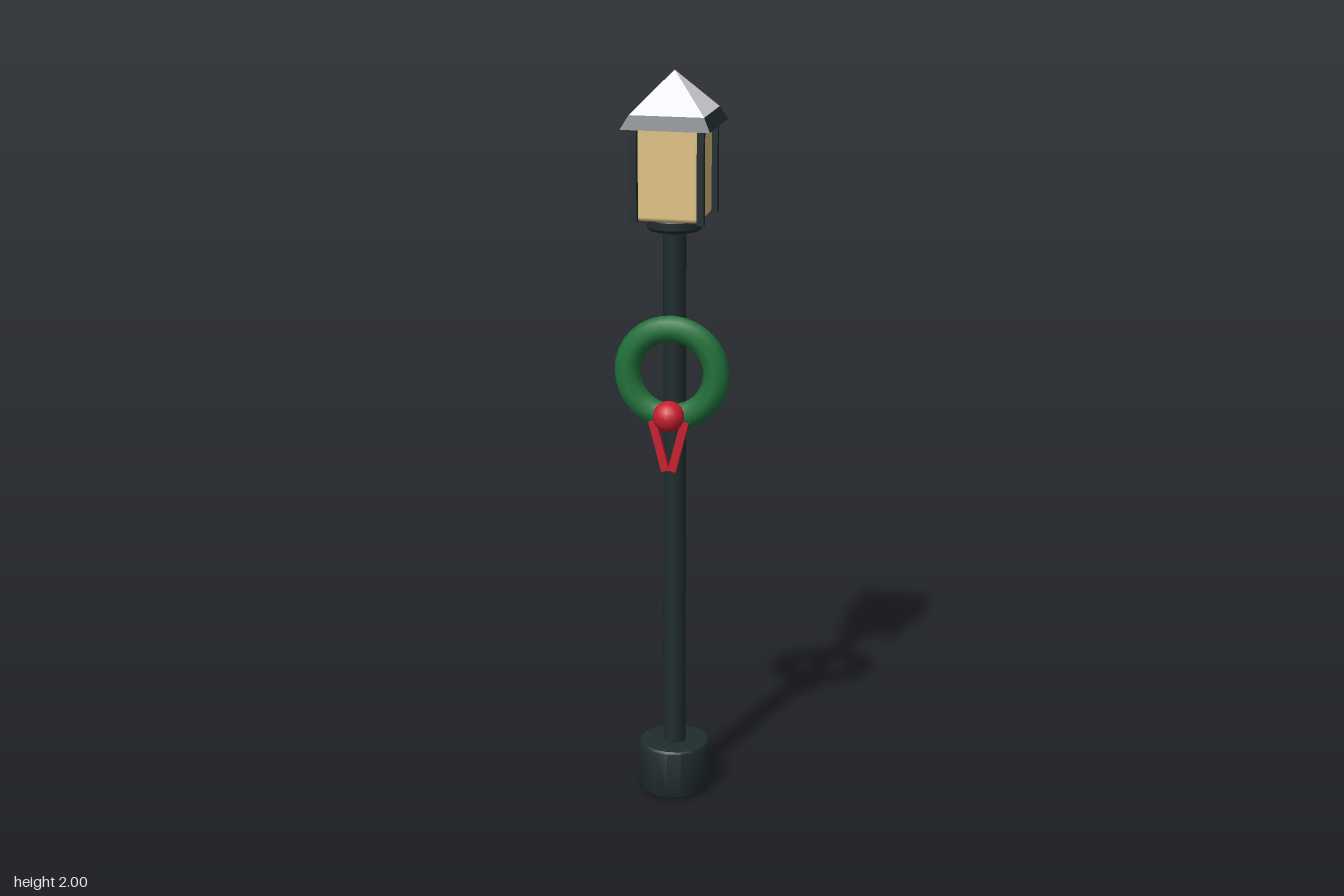
import * as THREE from 'three';
import { RoundedBoxGeometry } from 'three/addons/geometries/RoundedBoxGeometry.js';
import { toCreasedNormals } from 'three/addons/utils/BufferGeometryUtils.js';

const material = (name, color) => {
  const m = new THREE.MeshStandardMaterial({ color });
  m.name = name;
  return m;
};

// Square tapered block or pyramid: half widths at the bottom and top
function squareTaper(bottom, top, height) {
  const g = new THREE.CylinderGeometry(top * Math.SQRT2, bottom * Math.SQRT2, height, 4);
  g.rotateY(Math.PI / 4);
  return toCreasedNormals(g, 0.3);
}

// Solid turned from [radius, y] points
function turned(points, sides) {
  const g = new THREE.LatheGeometry(points.map(([r, y]) => new THREE.Vector2(r, y)), sides);
  return toCreasedNormals(g, 0.6);
}

export function createModel() {
  const iron = material('dark iron', 0x202c2d);
  const glass = material('warm glass', 0xe2c384);
  const snow = material('snow', 0xebebf2);
  const green = material('wreath green', 0x20703a);
  const red = material('ribbon red', 0xc81e30);

  const model = new THREE.Group();
  model.name = 'lampPost';
  const add = (name, geometry, mat, x = 0, y = 0, z = 0) => {
    const mesh = new THREE.Mesh(geometry, mat);
    mesh.name = name;
    mesh.position.set(x, y, z);
    model.add(mesh);
    return mesh;
  };

  // Foot, post and collar
  add('base', turned([[0, 0], [0.094, 0], [0.098, 0.006], [0.098, 0.134], [0.094, 0.14], [0, 0.14]], 16), iron);
  add('post', new THREE.CylinderGeometry(0.031, 0.031, 1.47, 12), iron, 0, 0.865);
  add('collar', turned([[0, 1.586], [0.067, 1.586], [0.073, 1.594], [0.073, 1.614], [0.068, 1.62], [0, 1.62]], 16), iron);

  // Lantern with a bar at each corner
  add('lanternGlass', new RoundedBoxGeometry(0.166, 0.25, 0.166, 2, 0.012), glass, 0, 1.743);
  for (const x of [-1, 1]) {
    for (const z of [-1, 1]) {
      add('cornerBar', new THREE.BoxGeometry(0.018, 0.247, 0.018), iron, x * 0.088, 1.7405, z * 0.088);
    }
  }

  // Eaves and snow-covered roof
  add('eaves', squareTaper(0.117, 0.098, 0.035), iron, 0, 1.8775);
  add('snowRoof', squareTaper(0.098, 0, 0.105), snow, 0, 1.9475);

  // Wreath in front of the post
  add('wreath', new THREE.TorusGeometry(0.12, 0.036, 8, 32), green, 0, 1.207, 0.036);

  // Bow knot and two ribbon tails that meet at the bottom
  add('bowKnot', new THREE.SphereGeometry(0.042, 16, 12), red, 0, 1.097, 0.072);
  for (const side of [-1, 1]) {
    const tail = add('ribbonTail', new THREE.BoxGeometry(0.022, 0.14, 0.014), red, side * 0.026, 1.015, 0.072);
    tail.rotation.z = -side * 0.25;
  }
  return model;
}
